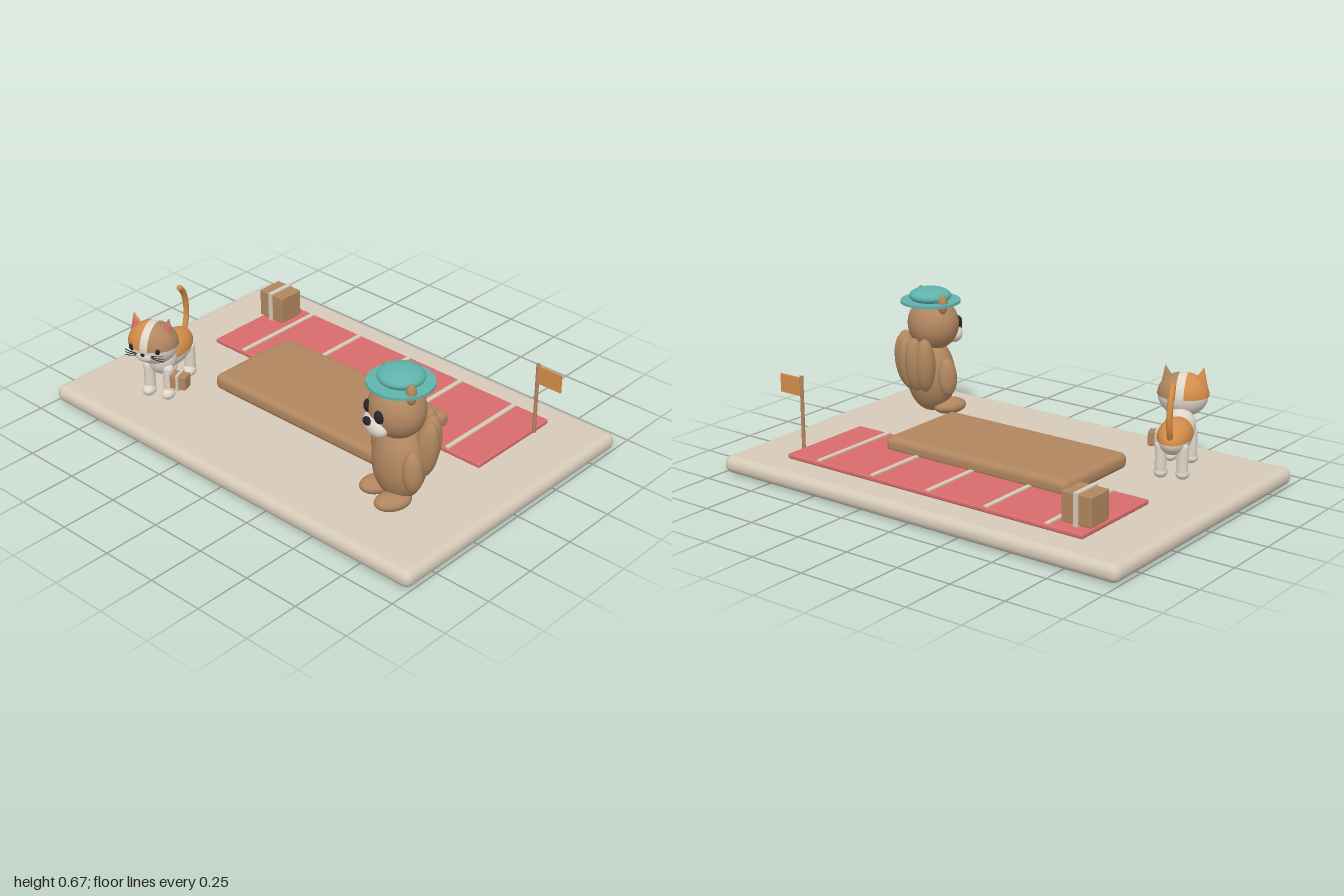
import * as THREE from 'three';
import { RoundedBoxGeometry } from 'three/addons/geometries/RoundedBoxGeometry.js';

const material = (name, color, side = THREE.FrontSide) => {
  const m = new THREE.MeshStandardMaterial({ color, side });
  m.name = name;
  return m;
};

export function createModel() {
  const beige = material('beige', 0xd6cab8);
  const cream = material('cream', 0xdfd6c8);
  const brown = material('brown', 0xb0865f);
  const orange = material('orange', 0xd48d49);
  const red = material('red', 0xd86c6c);
  const teal = material('teal', 0x5fb3ac);
  const black = material('black', 0x252428);

  const add = (parent, name, geometry, mat, x = 0, y = 0, z = 0) => {
    const mesh = new THREE.Mesh(geometry, mat);
    mesh.name = name;
    mesh.position.set(x, y, z);
    parent.add(mesh);
    return mesh;
  };
  const ball = new THREE.SphereGeometry(1, 32, 20);
  const blob = (parent, name, mat, pos, radii) => {
    const mesh = add(parent, name, ball, mat, ...pos);
    mesh.scale.set(...radii);
    return mesh;
  };
  const tube = (parent, name, mat, points, r, segments = 24) => add(parent, name,
    new THREE.TubeGeometry(new THREE.CatmullRomCurve3(points.map(p => new THREE.Vector3(...p))), segments, r, 8), mat);
  const group = (parent, name, x = 0, y = 0, z = 0, turn = 0) => {
    const g = new THREE.Group();
    g.name = name;
    g.position.set(x, y, z);
    g.rotation.y = turn;
    parent.add(g);
    return g;
  };
  // Box tied with one strap
  const parcel = (parent, name, x, y, z, w, h, d, turn = 0) => {
    const g = group(parent, name, x, y, z, turn);
    add(g, 'parcelBox', new RoundedBoxGeometry(w, h, d, 2, 0.005), brown);
    add(g, 'parcelStrap', new THREE.BoxGeometry(w * 0.15, h + 0.012, d + 0.012), beige);
  };

  const model = new THREE.Group();
  model.name = 'plazaScene';

  // Ground slab, platform and striped mat
  add(model, 'base', new RoundedBoxGeometry(2, 0.076, 1.33, 6, 0.036), beige, 0, 0.038, 0);
  add(model, 'platform', new RoundedBoxGeometry(0.935, 0.073, 0.455, 5, 0.03), brown, -0.002, 0.119, -0.004);
  add(model, 'mat', new RoundedBoxGeometry(1.505, 0.022, 0.462, 3, 0.008), red, -0.002, 0.089, -0.295);
  for (let i = -2; i <= 2; i++) {
    add(model, 'matStripe', new THREE.BoxGeometry(0.02, 0.008, 0.45), beige, i * 0.291 - 0.003, 0.102, -0.295);
  }

  // Parcel and flag
  parcel(model, 'parcel', -0.69, 0.17, -0.415, 0.138, 0.125, 0.122);
  const flag = group(model, 'flag', 0.755, 0, -0.42);
  add(flag, 'flagPole', new THREE.CylinderGeometry(0.008, 0.008, 0.325, 16), brown, 0, 0.252, 0);
  add(flag, 'flagCloth', new THREE.BoxGeometry(0.115, 0.08, 0.008), orange, 0.06, 0.365, 0);

  // Bear
  const bear = group(model, 'bear', 0.65, 0, 0.305, -0.4);
  blob(bear, 'bearBody', brown, [0.003, 0.265, 0.005], [0.125, 0.168, 0.105]);
  blob(bear, 'bearHead', brown, [0, 0.5, 0.018], [0.125, 0.118, 0.112]);
  blob(bear, 'bearMuzzle', cream, [0, 0.448, 0.108], [0.075, 0.046, 0.042]);
  blob(bear, 'bearNose', black, [0, 0.471, 0.145], [0.024, 0.016, 0.015]);
  for (const s of [-1, 1]) {
    blob(bear, 'bearEye', black, [s * 0.046, 0.506, 0.117], [0.026, 0.027, 0.018]);
    blob(bear, 'bearEar', brown, [s * 0.1, 0.608, 0.012], [0.023, 0.044, 0.022]);
    blob(bear, 'bearArm', brown, [s * 0.135, 0.283, 0.015], [0.036, 0.085, 0.043]).rotation.z = s * 0.08;
    blob(bear, 'bearFoot', brown, [s * 0.066, 0.126, 0.062], [0.054, 0.036, 0.078]);
  }
  // Fan of plump tail lobes wrapped around the back
  for (let i = -2; i <= 2; i++) {
    const lobe = group(bear, 'tailLobe', 0, 0, 0, i * 0.44);
    const mesh = blob(lobe, 'tailLobeBody', brown, [0, 0.335, -0.107], [0.046, 0.125, 0.05]);
    mesh.rotation.x = -0.12;
  }
  // Hat
  add(bear, 'hatBrim', new THREE.CylinderGeometry(0.133, 0.133, 0.012, 48), teal, -0.005, 0.607, 0.003);
  blob(bear, 'hatCrown', teal, [-0.008, 0.632, 0], [0.094, 0.037, 0.094]);

  // Cat
  const cat = group(model, 'cat', -0.65, 0, 0.29, 0.37);
  // Coat patches: part of a sphere whose pole lies on the x axis, upper half only
  const patch = (name, mat, s, pos, radii, reach) => {
    const start = s > 0 ? -Math.PI / 2 : Math.PI / 2;
    const g = new THREE.SphereGeometry(1, 24, 20, start, Math.PI, 0, reach).rotateZ(-s * Math.PI / 2);
    add(cat, name, g, mat, ...pos).scale.set(...radii.map(r => r + 0.0025));
  };
  const bodyPos = [0, 0.245, -0.005], bodySize = [0.07, 0.07, 0.13];
  const headPos = [0.004, 0.367, 0.178], headSize = [0.106, 0.092, 0.092];
  blob(cat, 'catBody', cream, bodyPos, bodySize);
  blob(cat, 'catChest', cream, [0, 0.255, 0.105], [0.066, 0.075, 0.06]);
  blob(cat, 'catHead', cream, headPos, headSize);
  for (const s of [-1, 1]) {
    const fur = s > 0 ? brown : orange;
    patch('catBackPatch', orange, s, bodyPos, bodySize, Math.PI / 2);
    patch('catHeadPatch', fur, s, headPos, headSize, Math.acos(0.16));

    // Pointed ears with red inner faces
    const ear = group(cat, 'catEar', s * 0.073, 0.452, 0.175);
    ear.rotation.z = -s * 0.2;
    const cone = add(ear, 'earOuter', new THREE.ConeGeometry(0.034, 0.08, 24), fur);
    cone.scale.z = 0.6;
    const inner = add(ear, 'earInner', new THREE.ConeGeometry(0.026, 0.064, 24), red, 0, -0.003, 0.011);
    inner.scale.z = 0.5;

    // Eyes and whiskers
    blob(cat, 'catEye', black, [s * 0.058, 0.37, 0.253], [0.013, 0.015, 0.009]);
    for (const k of [-1, 0, 1]) {
      tube(cat, 'whisker', black, [[s * 0.03, 0.344 + k * 0.004, 0.262],
        [s * 0.06, 0.343 + k * 0.009, 0.263], [s * 0.088, 0.341 + k * 0.013, 0.255]], 0.0018, 6);
    }

    // Legs and paws
    for (const z of [0.135, -0.072]) {
      add(cat, 'catLeg', new THREE.CapsuleGeometry(0.024, 0.1, 6, 16), cream, s * 0.045, 0.17, z);
      blob(cat, 'catPaw', cream, [s * 0.045, 0.108, z + 0.01], [0.029, 0.025, 0.036]);
    }
  }
  blob(cat, 'catMuzzle', cream, [0, 0.337, 0.254], [0.04, 0.025, 0.02]);
  blob(cat, 'catNose', black, [0, 0.352, 0.273], [0.01, 0.007, 0.006]);
  tube(cat, 'catTail', orange, [[0, 0.26, -0.115], [0, 0.32, -0.143], [0, 0.39, -0.145],
    [0, 0.45, -0.125], [0, 0.485, -0.095]], 0.013);
  blob(cat, 'catTailTip', orange, [0, 0.485, -0.095], [0.013, 0.013, 0.013]);
  parcel(cat, 'carriedParcel', 0.1, 0.18, 0.14, 0.074, 0.062, 0.055);

  return model;
}
